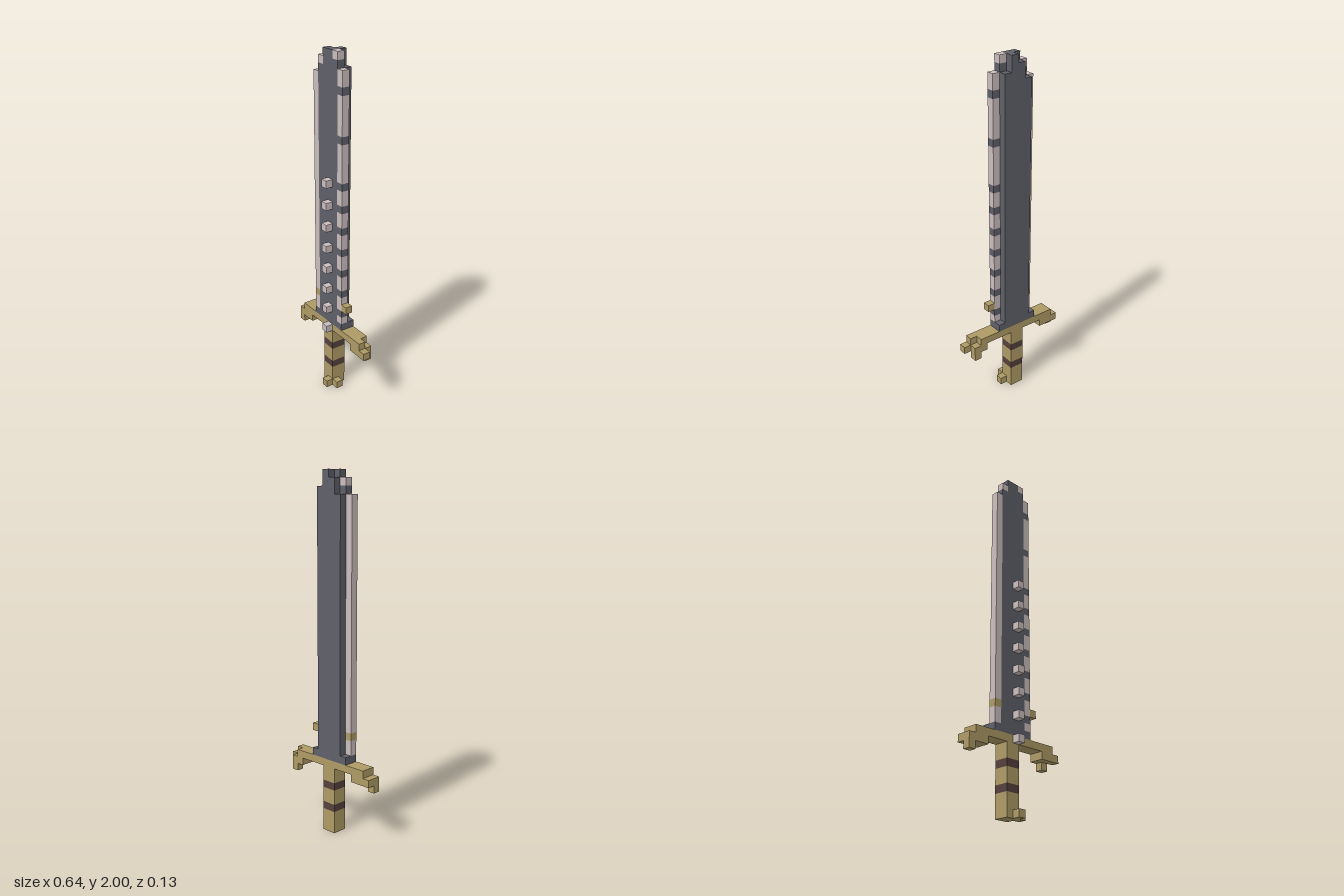
import * as THREE from 'three';

const U = 2 / 47; // one block; the model is 15 x 47 x 3 blocks

export function createModel() {
  const model = new THREE.Group();
  model.name = 'blockSword';

  const material = (name, color) => {
    const m = new THREE.MeshStandardMaterial({ color });
    m.name = name;
    return m;
  };
  const steel = material('dark steel', 0x5f6069);
  const pale = material('pale edge', 0xcbbdbe);
  const gold = material('old gold', 0xad9a65);
  const brown = material('brown wrap', 0x54403c);

  // Box spanning block columns x0..x1, rows y0..y1 and layers z0..z1 (ends excluded)
  const block = (name, mat, x0, x1, y0, y1, z0, z1) => {
    const geo = new THREE.BoxGeometry((x1 - x0) * U, (y1 - y0) * U, (z1 - z0) * U);
    const mesh = new THREE.Mesh(geo, mat);
    mesh.name = name;
    mesh.position.set(((x0 + x1) / 2 - 7.5) * U, ((y0 + y1) / 2) * U, ((z0 + z1) / 2 - 1.5) * U);
    model.add(mesh);
  };

  // Grip with two wrapped bands
  [[0, 3, gold], [3, 4, brown], [4, 6, gold], [6, 7, brown], [7, 9, gold]].forEach(([a, b, mat]) =>
    block(mat === brown ? 'gripBand' : 'grip', mat, 6, 8, a, b, 0, 2));
  block('pommelSideKnob', gold, 8, 9, 0, 1, 1, 2);
  block('pommelFrontKnob', gold, 7, 8, 0, 1, 2, 3);

  // Crossguard with drooping, uneven ends
  block('guardFront', gold, 1, 14, 9, 10, 1, 2);
  block('guardBack', gold, 1, 13, 9, 10, 0, 1);
  block('guardRightEnd', gold, 0, 3, 8, 9, 0, 2);
  block('guardRightTip', gold, 0, 1, 7, 8, 1, 2);
  block('guardLeftEndFront', gold, 12, 15, 8, 9, 1, 2);
  block('guardLeftEndBack', gold, 12, 14, 8, 9, 0, 1);
  block('guardLeftTip', gold, 13, 14, 7, 8, 0, 1);

  // Blade: base row, then columns with stepped tops for each layer
  block('bladeBase', steel, 4, 10, 10, 11, 0, 2);
  const frontTops = [45, 47, 47, 46];
  const backTops = [44, 46, 47, 45];
  frontTops.forEach((top, i) => block('bladeFront', steel, 5 + i, 6 + i, 11, top, 1, 2));
  backTops.forEach((top, i) => block('bladeBack', steel, 5 + i, 6 + i, 11, top, 0, 1));
  block('tipRight', pale, 5, 6, 45, 46, 1, 2);
  block('tipLeft', pale, 8, 9, 46, 47, 1, 2);

  // Right cutting edge with one gold block
  block('rightEdge', pale, 4, 5, 11, 13, 1, 2);
  block('rightEdgeInlay', gold, 4, 5, 13, 14, 1, 2);
  block('rightEdge', pale, 4, 5, 14, 44, 1, 2);

  // Left edge: pale runs broken by dark notches
  let row = 11;
  for (const notch of [12, 15, 18, 21, 24, 27, 30, 36, 42]) {
    block('leftEdge', pale, 9, 10, row, notch, 1, 2);
    block('leftEdgeNotch', steel, 9, 10, notch, notch + 1, 1, 2);
    row = notch + 1;
  }
  block('leftEdge', pale, 9, 10, row, 45, 1, 2);
  block('leftBarb', gold, 10, 11, 13, 14, 1, 2);

  // Studs up the front
  for (let y = 9; y <= 30; y += 3) block('stud', pale, 7, 8, y, y + 1, 2, 3);

  return model;
}
